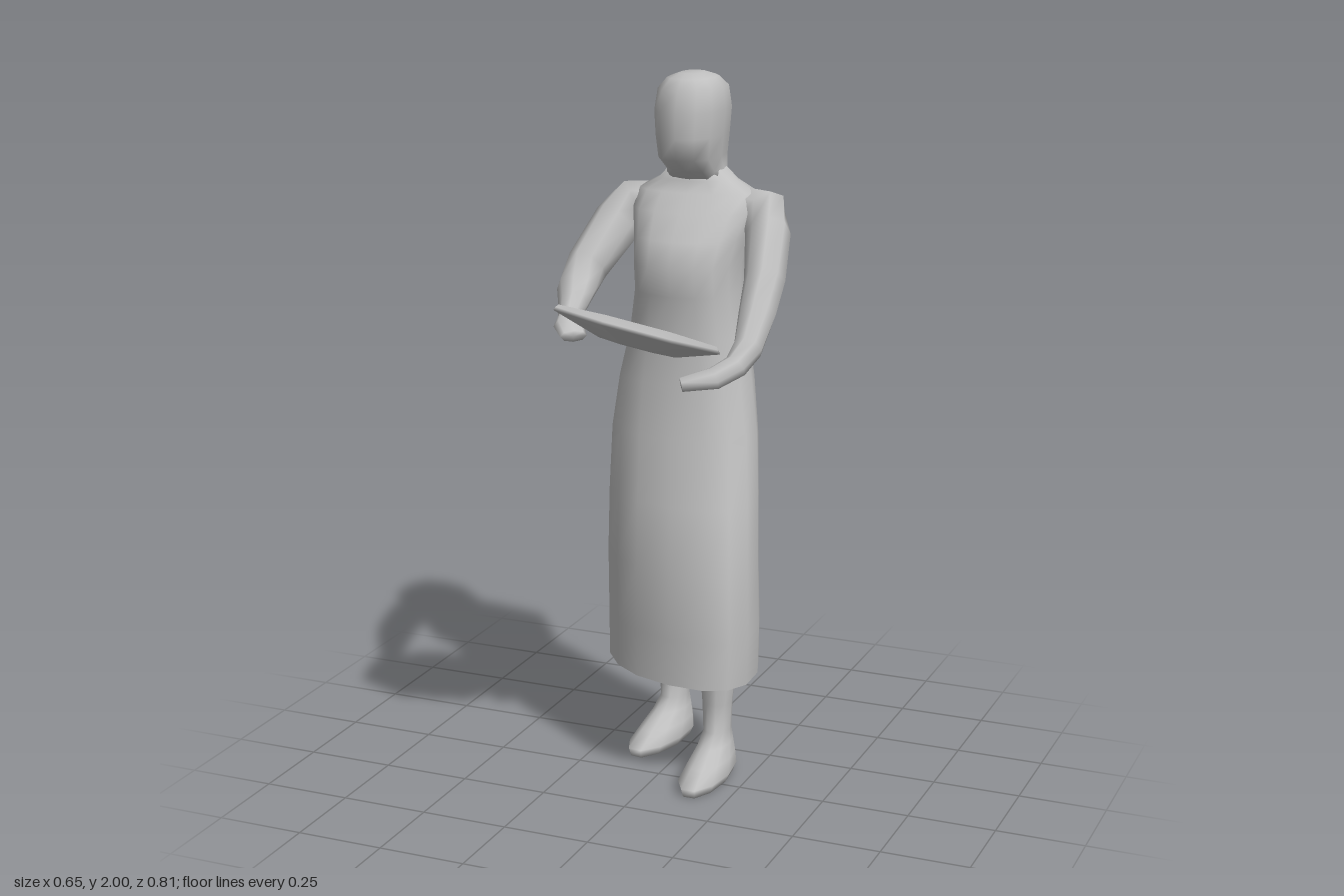
import * as THREE from 'three';

const V = (x, y, z) => new THREE.Vector3(x, y, z);

// Skin over rings {c, u, v}: centre and two half-axes; power < 1 squares the ring off
function loft(rings, n, power = 1, capStart = true, capEnd = true) {
  const pos = [], idx = [];
  const sq = t => Math.sign(t) * Math.pow(Math.abs(t), power);
  for (const { c, u, v } of rings) {
    for (let i = 0; i < n; i++) {
      const a = (i / n) * Math.PI * 2;
      const p = c.clone().addScaledVector(u, sq(Math.cos(a))).addScaledVector(v, sq(Math.sin(a)));
      pos.push(p.x, p.y, p.z);
    }
  }
  for (let r = 0; r < rings.length - 1; r++) {
    for (let i = 0; i < n; i++) {
      const a = r * n + i, b = r * n + (i + 1) % n;
      idx.push(a, a + n, b, b, a + n, b + n);
    }
  }
  const cap = (r, flip) => {
    const m = pos.length / 3, c = rings[r].c;
    pos.push(c.x, c.y, c.z);
    for (let i = 0; i < n; i++) {
      const a = r * n + i, b = r * n + (i + 1) % n;
      idx.push(m, flip ? a : b, flip ? b : a);
    }
  };
  if (capStart) cap(0, true);
  if (capEnd) cap(rings.length - 1, false);
  const g = new THREE.BufferGeometry();
  g.setAttribute('position', new THREE.Float32BufferAttribute(pos, 3));
  g.setIndex(idx);
  g.computeVertexNormals();
  return g;
}

// Horizontal ring from its extents: [y, xMin, xMax, zBack, zFront, skew];
// skew stretches it towards its front-left and back-right
function level([y, x0, x1, z0, z1, skew = 0]) {
  const rx = (x1 - x0) / 2, rz = (z1 - z0) / 2;
  const c = Math.cos(skew), s = Math.sin(skew);
  return { c: V((x0 + x1) / 2, y, (z0 + z1) / 2), u: V(rx * c, 0, rz * s), v: V(rx * s, 0, rz * c) };
}

// Rings across a bent path: [x, y, z, sideRadius, upRadius]
function limb(points) {
  const c = points.map(p => V(p[0], p[1], p[2]));
  return points.map((p, i) => {
    const d = c[Math.min(i + 1, c.length - 1)].clone().sub(c[Math.max(i - 1, 0)]).normalize();
    const u = V(0, 1, 0).cross(d).normalize();
    const v = u.clone().cross(d).normalize();
    return { c: c[i], u: u.multiplyScalar(p[3]), v: v.multiplyScalar(p[4]) };
  });
}

export function createModel() {
  const model = new THREE.Group();
  const grey = new THREE.MeshStandardMaterial({ color: 0xbfbfbf });
  const cloth = new THREE.MeshStandardMaterial({ color: 0xbfbfbf, side: THREE.DoubleSide });
  const add = (name, geometry, material = grey) => {
    const mesh = new THREE.Mesh(geometry, material);
    mesh.name = name;
    model.add(mesh);
  };

  // Long dress following the stride, rising to the shoulders and neck
  add('dress', loft([
    [0.315, -0.237, 0.262, -0.4, 0.08, 0.19],
    [0.45, -0.238, 0.265, -0.393, 0.077, 0.19],
    [0.64, -0.236, 0.26, -0.372, 0.068, 0.18],
    [0.82, -0.228, 0.246, -0.348, 0.02, 0.13],
    [1.0, -0.217, 0.228, -0.33, -0.03, 0.07],
    [1.15, -0.19, 0.203, -0.328, -0.055, 0.02],
    [1.28, -0.157, 0.177, -0.333, -0.065],
    [1.4, -0.14, 0.162, -0.345, -0.058],
    [1.48, -0.142, 0.162, -0.37, -0.042],
    [1.55, -0.155, 0.17, -0.39, -0.078],
    [1.62, -0.175, 0.187, -0.38, -0.135],
    [1.67, -0.165, 0.177, -0.358, -0.18],
    [1.7, -0.11, 0.12, -0.345, -0.205],
    [1.74, -0.068, 0.076, -0.34, -0.2],
  ].map(level), 16, 0.85, false, true), cloth);
  add('dressUnderside', loft([level([0.33, -0.236, 0.261, -0.398, 0.079, 0.19])], 16, 0.85, true, false), cloth);

  // Head with covered hair falling to the neck
  add('head', loft([
    [1.69, -0.093, 0.103, -0.345, -0.22],
    [1.73, -0.075, 0.085, -0.352, -0.18],
    [1.77, -0.08, 0.088, -0.363, -0.11],
    [1.83, -0.087, 0.094, -0.368, -0.103],
    [1.9, -0.092, 0.1, -0.37, -0.103],
    [1.96, -0.085, 0.093, -0.355, -0.12],
    [1.988, -0.062, 0.068, -0.32, -0.15],
    [2.0, -0.03, 0.035, -0.28, -0.185],
  ].map(level), 12, 0.82));

  // Arms bent forward, hands below the tray
  add('rightArm', loft(limb([
    [-0.06, 1.615, -0.285, 0.045, 0.04],
    [-0.12, 1.618, -0.285, 0.08, 0.063],
    [-0.19, 1.612, -0.275, 0.076, 0.072],
    [-0.222, 1.565, -0.225, 0.063, 0.076],
    [-0.265, 1.46, -0.115, 0.057, 0.064],
    [-0.272, 1.4, -0.05, 0.055, 0.054],
    [-0.24, 1.38, 0.04, 0.041, 0.042],
    [-0.215, 1.365, 0.12, 0.03, 0.03],
    [-0.195, 1.35, 0.165, 0.042, 0.026],
    [-0.16, 1.335, 0.212, 0.037, 0.017],
  ]), 8));
  add('leftArm', loft(limb([
    [0.07, 1.615, -0.285, 0.045, 0.04],
    [0.13, 1.618, -0.285, 0.08, 0.063],
    [0.2, 1.612, -0.275, 0.076, 0.072],
    [0.232, 1.565, -0.225, 0.063, 0.076],
    [0.265, 1.46, -0.115, 0.057, 0.064],
    [0.276, 1.385, -0.03, 0.052, 0.056],
    [0.284, 1.31, 0.06, 0.041, 0.043],
    [0.272, 1.272, 0.12, 0.034, 0.034],
    [0.228, 1.245, 0.165, 0.045, 0.03],
    [0.15, 1.23, 0.205, 0.04, 0.018],
  ]), 8));

  // Legs and feet, the left one a step ahead
  const leg = (name, x, z, splay) => add(name, loft([
    [0.005, -0.055, 0.055, -0.165, 0.13],
    [0.03, -0.066, 0.066, -0.178, 0.138],
    [0.065, -0.056, 0.056, -0.173, 0.07],
    [0.1, -0.045, 0.045, -0.162, 0.0],
    [0.135, -0.038, 0.038, -0.15, -0.042],
    [0.22, -0.043, 0.043, -0.148, -0.045],
    [0.32, -0.053, 0.053, -0.16, -0.04],
    [0.45, -0.058, 0.058, -0.165, -0.035],
  ].map(level), 10).rotateY(splay).translate(x, 0, z));
  leg('leftLeg', 0.143, 0, 0);
  leg('rightLeg', -0.09, -0.21, -0.16);

  // Shallow eight-sided tray, tilted down towards the body and its left
  const tray = new THREE.LatheGeometry([
    [0, -0.05], [0.11, -0.044], [0.238, 0], [0.232, 0.01], [0.12, -0.006], [0, -0.014],
  ].map(([r, y]) => new THREE.Vector2(r, y)), 8);
  const p = tray.attributes.position;
  for (let i = 0; i < p.count; i++) {
    p.setY(i, p.getY(i) + 0.28 * p.getZ(i) - 0.18 * p.getX(i));
  }
  tray.computeVertexNormals();
  tray.translate(0.01, 1.357, 0.172);
  add('tray', tray, cloth);

  return model;
}
